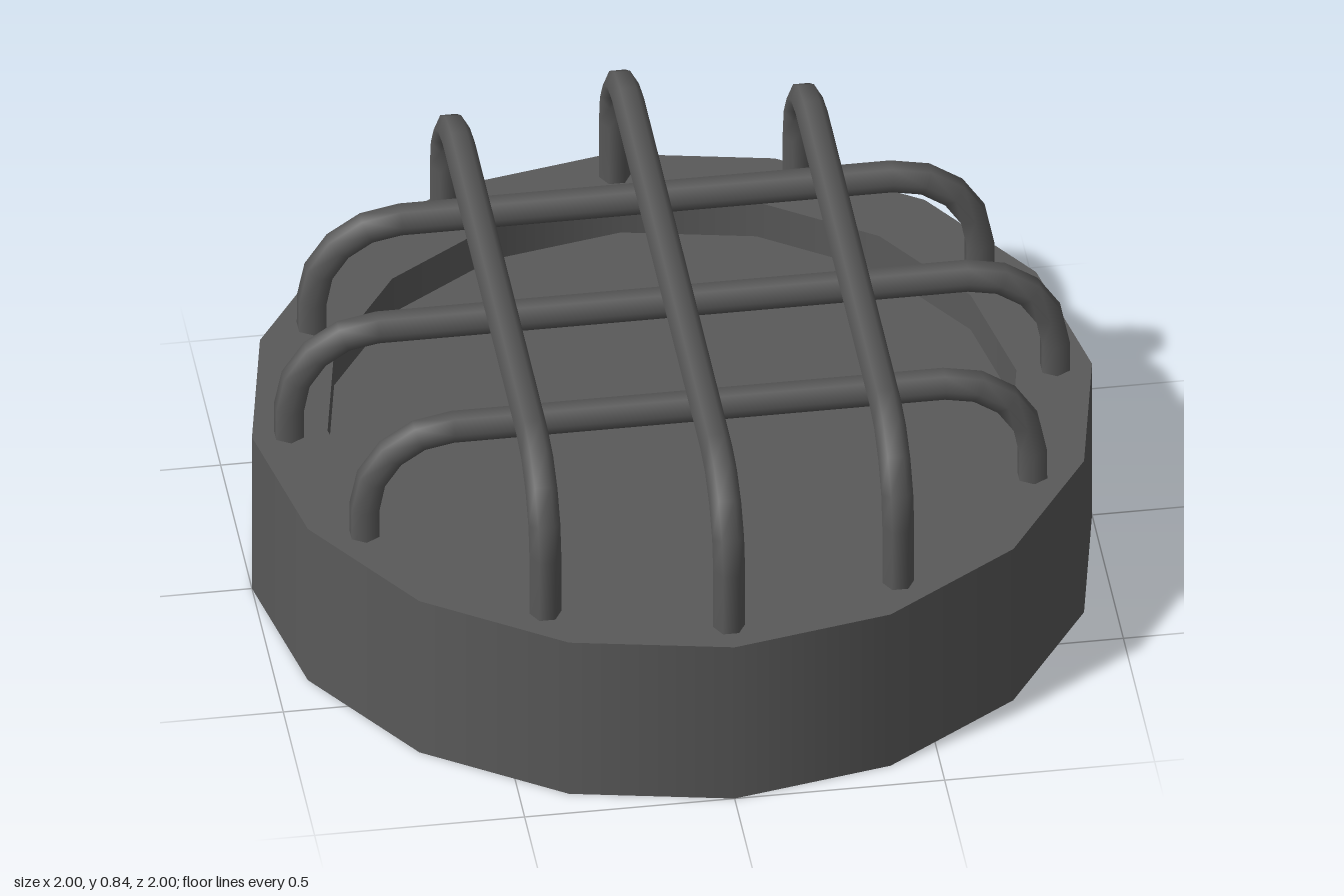
import * as THREE from 'three';

const SIDES = 16, HEIGHT = 0.44, RIM_INNER = 0.82, FLOOR_Y = 0.34;
const BAR_RADIUS = 0.038, BAR_SIDES = 6, BEND = 0.21;

// Runs through the given points with straight pieces, one tube ring per point
class BentPath extends THREE.Curve {
  constructor(points) { super(); this.points = points; }
  getUtoTmapping(u) { return u; }
  getPoint(t, target = new THREE.Vector3()) {
    const n = this.points.length - 1;
    const i = Math.min(Math.floor(t * n), n - 1);
    return target.lerpVectors(this.points[i], this.points[i + 1], t * n - i);
  }
}

// Six-sided cage bar along x: two upright legs joined by rounded corners
function barGeometry(halfSpan, topY) {
  const right = [new THREE.Vector3(halfSpan, HEIGHT - 0.02, 0)];
  for (let i = 0; i <= 4; i++) {
    const a = (i / 4) * Math.PI / 2;
    right.push(new THREE.Vector3(
      halfSpan - BEND + BEND * Math.cos(a), topY - BEND + BEND * Math.sin(a), 0));
  }
  const left = right.map(p => new THREE.Vector3(-p.x, p.y, 0)).reverse();
  const points = [...right, ...left];
  return new THREE.TubeGeometry(
    new BentPath(points), points.length - 1, BAR_RADIUS, BAR_SIDES, false);
}

export function createModel() {
  const model = new THREE.Group();
  model.name = 'cagedLamp';
  const metal = new THREE.MeshStandardMaterial({ color: 0x5a5a5a, side: THREE.DoubleSide });
  metal.name = 'dark grey metal';

  const add = (parent, name, geometry, y = 0) => {
    const mesh = new THREE.Mesh(geometry, metal);
    mesh.name = name;
    mesh.position.y = y;
    parent.add(mesh);
    return mesh;
  };

  // Housing: thin outer wall open below, flat rim, shallow sunken floor
  const housing = new THREE.Group();
  housing.name = 'housing';
  model.add(housing);
  add(housing, 'outerWall',
    new THREE.CylinderGeometry(1, 1, HEIGHT, SIDES, 1, true), HEIGHT / 2);
  add(housing, 'rim',
    new THREE.RingGeometry(RIM_INNER, 1, SIDES).rotateX(-Math.PI / 2), HEIGHT);
  add(housing, 'recessWall',
    new THREE.CylinderGeometry(RIM_INNER, RIM_INNER, HEIGHT - FLOOR_Y, SIDES, 1, true),
    (HEIGHT + FLOOR_Y) / 2);
  add(housing, 'recessFloor',
    new THREE.CircleGeometry(RIM_INNER, SIDES).rotateX(-Math.PI / 2), FLOOR_Y);

  // Cage: three low bars across, three higher bars front to back
  const cage = new THREE.Group();
  cage.name = 'cage';
  model.add(cage);
  for (const offset of [-0.42, 0, 0.42]) {
    const halfSpan = offset === 0 ? 0.912 : 0.795;
    add(cage, 'crossBar', barGeometry(halfSpan, 0.728)).position.z = offset;
    const longBar = add(cage, 'frontToBackBar', barGeometry(halfSpan, 0.812));
    longBar.rotation.y = Math.PI / 2;
    longBar.position.x = offset;
  }
  return model;
}
